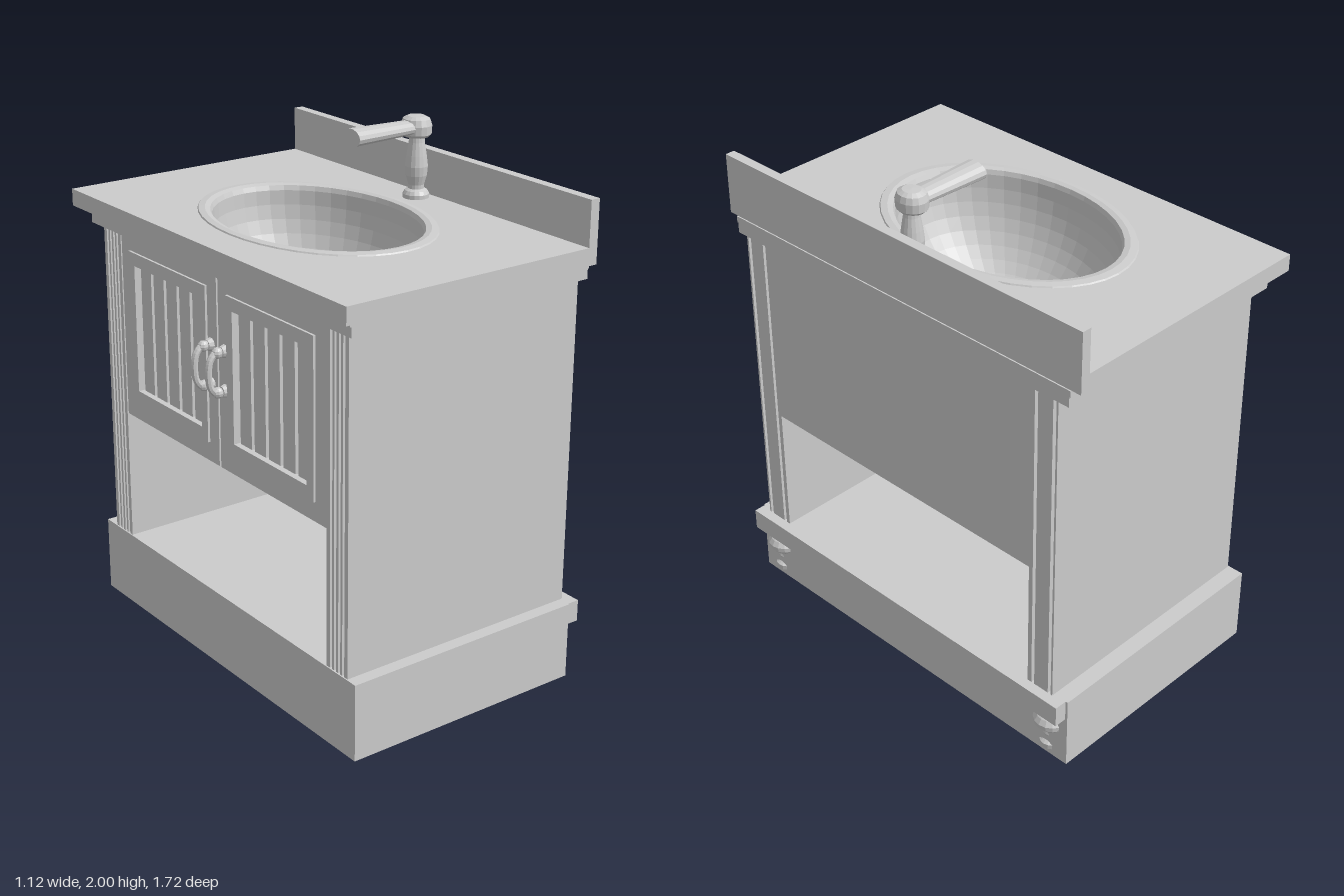
import * as THREE from 'three';

const mat = new THREE.MeshStandardMaterial({ color: 0xcccccc, flatShading: true, side: THREE.DoubleSide });

export function createModel() {
  const root = new THREE.Group();
  const SINK = { x: -0.045, rx: 0.38, rz: 0.53 };

  const add = (name, geo, x = 0, y = 0, z = 0) => {
    const m = new THREE.Mesh(geo, mat);
    m.name = name;
    m.position.set(x, y, z);
    root.add(m);
    return m;
  };
  // box given by its limits
  const box = (name, x0, x1, y0, y1, z0, z1) =>
    add(name, new THREE.BoxGeometry(x1 - x0, y1 - y0, z1 - z0), (x0 + x1) / 2, (y0 + y1) / 2, (z0 + z1) / 2);
  const rect = (a0, a1, b0, b1, Type = THREE.Shape) =>
    new Type([[a0, b0], [a1, b0], [a1, b1], [a0, b1]].map(p => new THREE.Vector2(...p)));
  const extrude = (shape, depth) => new THREE.ExtrudeGeometry(shape, { depth, bevelEnabled: false, curveSegments: 24 });
  // plan outline raised from y0 to y1
  const slab = (name, shape, y0, y1) => add(name, extrude(shape, y1 - y0).rotateX(-Math.PI / 2), 0, y0, 0);
  // outline in (z, y) extruded towards the doors, from x0 to x1
  const facing = (name, shape, x0, x1) => add(name, extrude(shape, x0 - x1).rotateY(-Math.PI / 2), x0, 0, 0);
  const oval = (rx, rz) => new THREE.Path().absellipse(SINK.x, 0, rx, rz, 0, Math.PI * 2);
  const lathe = (pts, n) => new THREE.LatheGeometry(pts.map(p => new THREE.Vector2(...p)), n);

  // Plinth with a round pipe hole from below
  const plinth = rect(-0.485, 0.51, -0.82, 0.835);
  plinth.holes.push(new THREE.Path().absellipse(-0.03, 0.04, 0.12, 0.12, 0, Math.PI * 2));
  slab('plinth', plinth, 0, 0.29);
  box('shelfFloor', -0.485, 0.51, 0.29, 0.3, -0.835, 0.82);
  box('backRail', 0.505, 0.56, 0.215, 0.3, -0.825, 0.815);

  // Turned feet, partly sunk into the plinth
  const footProfile = [[0, 0.02], [0.042, 0.025], [0.044, 0.045], [0.025, 0.06], [0.034, 0.085], [0.03, 0.1],
    [0.05, 0.115], [0.068, 0.135], [0.07, 0.155], [0.058, 0.175], [0.045, 0.185], [0.055, 0.195], [0.057, 0.215]];
  for (const z of [-0.735, 0.735]) add('foot', lathe(footProfile, 16), 0.48, 0, z);

  // Thick side walls, fluted on their front and back edges
  const notches = (centres, x, depth, half) =>
    centres.flatMap(c => [[x, c - half], [x + depth, c - half], [x + depth, c + half], [x, c + half]]);
  for (const s of [1, -1]) {
    const back = notches([0.675, 0.755], 0.52, -0.025, 0.007);
    const front = notches([0.675, 0.698, 0.722, 0.745], -0.48, 0.02, 0.006).reverse();
    const pts = [[0.52, 0.65], ...back, [0.52, 0.77], [-0.48, 0.77], ...front, [-0.48, 0.65]];
    slab('sideWall', new THREE.Shape(pts.map(p => new THREE.Vector2(p[0], p[1] * s))), 0.3, 1.56);
  }

  // Cupboard back and underside
  box('cupboardBack', 0.5, 0.52, 0.82, 1.56, -0.65, 0.65);
  box('cupboardBottom', -0.455, 0.5, 0.82, 0.845, -0.65, 0.65);

  // Pair of doors with moulded frames, slatted panels and pulls
  for (const s of [1, -1]) {
    const span = (a, b) => (s > 0 ? [a, b] : [-b, -a]);
    const frame = rect(...span(0.005, 0.645), 0.825, 1.555);
    frame.holes.push(rect(...span(0.09, 0.56), 0.93, 1.47, THREE.Path));
    facing('doorFrame', frame, -0.45, -0.478);
    const bead = rect(...span(0.065, 0.585), 0.9, 1.5);
    bead.holes.push(rect(...span(0.105, 0.545), 0.95, 1.45, THREE.Path));
    facing('doorMoulding', bead, -0.455, -0.487);
    box('doorPanel', -0.45, -0.435, 0.825, 1.555, ...span(0, 0.65));
    const n = 5, w = 0.44 / n;
    for (let i = 0; i < n; i++) {
      const z = 0.105 + i * w;
      box('doorSlat', -0.464, -0.449, 0.94, 1.46, ...span(z + 0.009, z + w - 0.009));
    }
    const bow = new THREE.CatmullRomCurve3([[-0.475, 1.135], [-0.51, 1.13], [-0.54, 1.155], [-0.55, 1.21],
      [-0.54, 1.265], [-0.51, 1.29], [-0.475, 1.285]].map(p => new THREE.Vector3(p[0], p[1], s * 0.045)));
    add('doorPull', new THREE.TubeGeometry(bow, 20, 0.013, 8));
    for (const y of [1.135, 1.285]) {
      add('pullRose', new THREE.CylinderGeometry(0.02, 0.026, 0.02, 10).rotateZ(Math.PI / 2), -0.487, y, s * 0.045);
      add('pullCollar', new THREE.SphereGeometry(0.021, 10, 6), -0.512, y, s * 0.045);
    }
  }

  // Worktop and its stepped trim, both cut out for the basin
  const trim = (name, x0, x1, z, y0, y1) => {
    const shape = rect(x0, x1, -z, z);
    shape.holes.push(oval(SINK.rx - 0.02, SINK.rz - 0.02));
    slab(name, shape, y0, y1);
  };
  trim('lowerTrim', -0.505, 0.52, 0.815, 1.56, 1.6);
  trim('upperTrim', -0.515, 0.52, 0.82, 1.6, 1.625);
  trim('worktop', -0.56, 0.515, 0.86, 1.625, 1.69);
  box('backsplash', 0.477, 0.515, 1.625, 1.86, -0.86, 0.86);

  // Oval basin with a narrow raised rim
  const bowl = [];
  for (let i = 0; i <= 12; i++) {
    const a = (i / 12) * Math.PI / 2;
    bowl.push([0.87 * Math.sin(a), 1.675 - 0.42 * Math.cos(a)]);
  }
  bowl.push([0.885, 1.693], [0.93, 1.698], [0.985, 1.695], [1, 1.685]);
  add('basin', lathe(bowl, 40).scale(SINK.rx, 1, SINK.rz), SINK.x, 0, 0);

  // Tap: turned column, domed head and flattened spout
  add('tapColumn', lathe([[0, 1.685], [0.05, 1.685], [0.05, 1.705], [0.042, 1.718], [0.03, 1.725], [0.03, 1.74],
    [0.04, 1.775], [0.043, 1.81], [0.038, 1.85], [0.03, 1.9], [0.028, 1.93]], 16), 0.415, 0, 0);
  add('tapHead', lathe([[0, 1.922], [0.05, 1.922], [0.06, 1.932], [0.062, 1.965], [0.054, 1.988], [0.035, 1.998],
    [0, 2]], 16).scale(0.9, 1, 1), 0.412, 0, 0);
  const spout = new THREE.CylinderGeometry(0.054, 0.043, 0.29, 14).rotateZ(Math.PI / 2).scale(1, 0.62, 1);
  add('tapSpout', spout, 0.255, 1.958, 0);
  return root;
}
